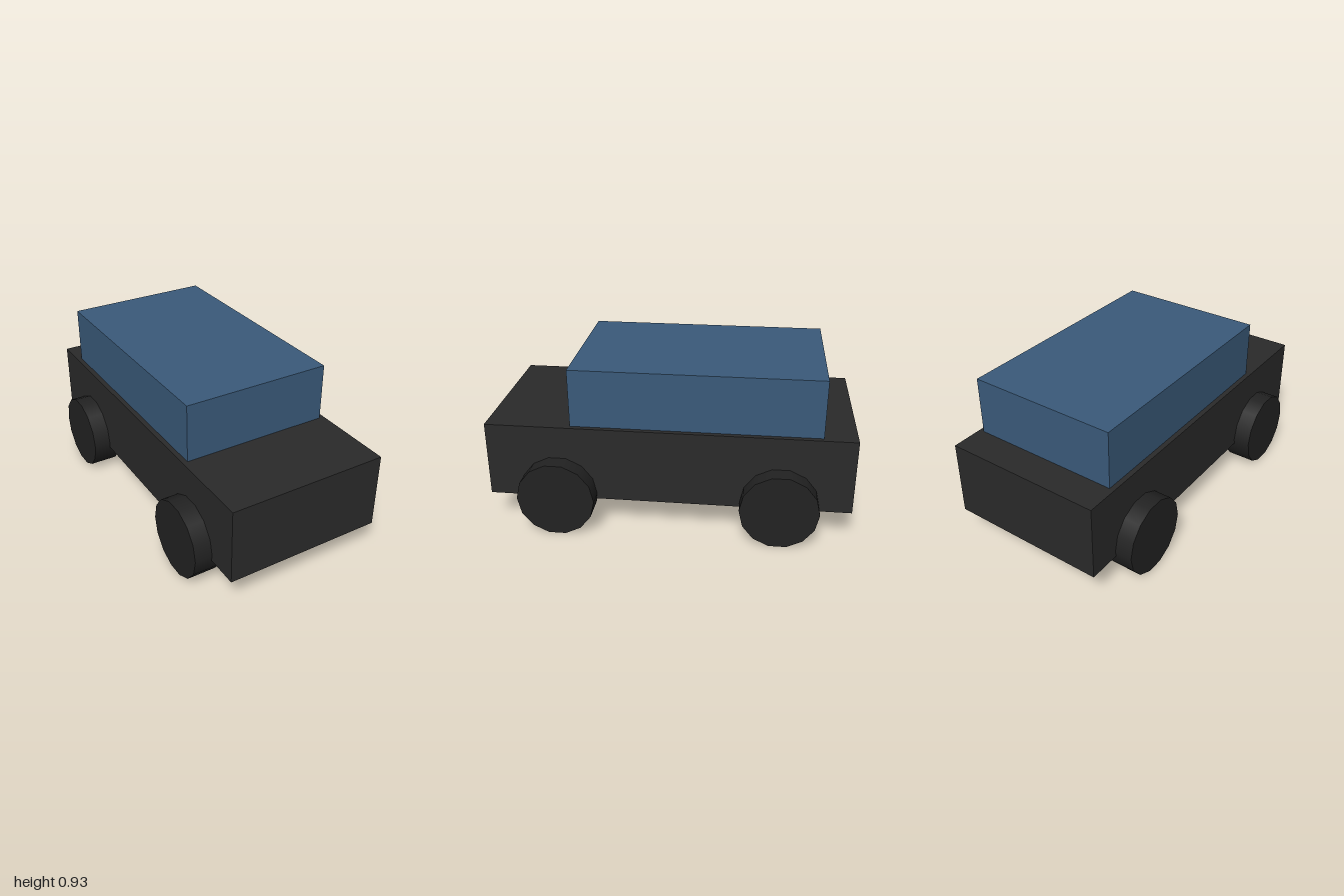
import * as THREE from 'three';

export function createModel() {
  const group = new THREE.Group();
  const paint = (color) => new THREE.MeshStandardMaterial({ color });

  function add(name, geometry, material, x, y, z) {
    const mesh = new THREE.Mesh(geometry, material);
    mesh.name = name;
    mesh.position.set(x, y, z);
    group.add(mesh);
  }

  // Lower body
  add('body', new THREE.BoxGeometry(0.894, 0.424, 2), paint(0x2a2a2a), 0, 0.39, 0);

  // Cabin, set towards the back
  add('cabin', new THREE.BoxGeometry(0.838, 0.323, 1.354), paint(0x3a5a7a), 0, 0.7635, -0.144);

  // Four 14-sided wheels, axles along x, resting on a flat side
  const radius = 0.2145;
  const wheel = new THREE.CylinderGeometry(radius, radius, 0.16, 14).rotateZ(Math.PI / 2);
  const rubber = paint(0x222222);
  const height = radius * Math.cos(Math.PI / 14);
  for (const [end, z] of [['front', 0.608], ['back', -0.608]]) {
    for (const [side, x] of [['Left', 0.464], ['Right', -0.464]]) {
      add(`${end}${side}Wheel`, wheel, rubber, x, height, z);
    }
  }

  return group;
}
